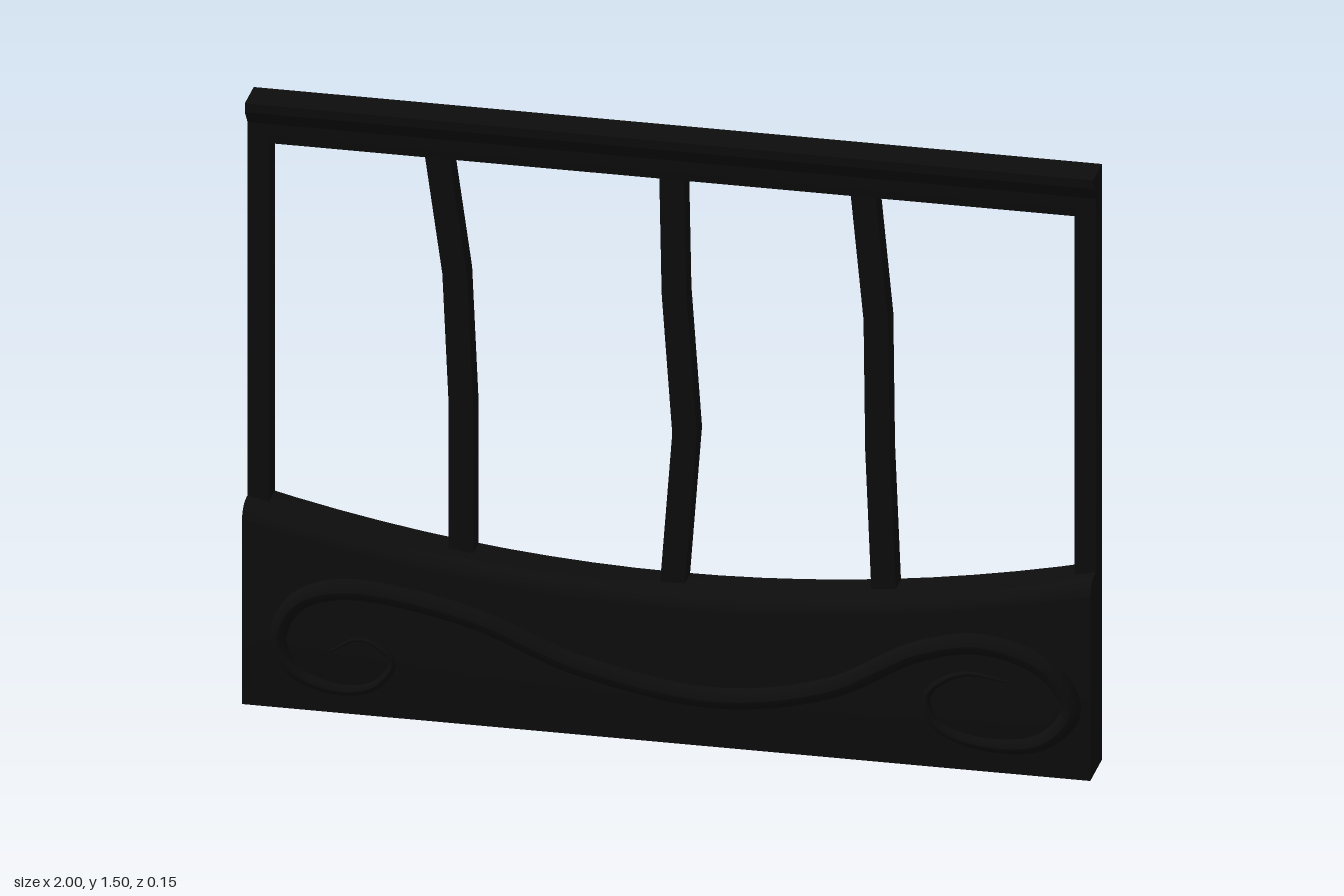
import * as THREE from 'three';
import { toCreasedNormals } from 'three/addons/utils/BufferGeometryUtils.js';

const material = new THREE.MeshStandardMaterial({ color: 0x0d0d0d });
const BACK = -0.075;

// Sweeps a (z, y) profile across the full width, from x = -1 to x = 1
function sweepAcross(profile, steps) {
  const shape = new THREE.Shape(profile.map(([z, y]) => new THREE.Vector2(-z, y)));
  const geometry = new THREE.ExtrudeGeometry(shape, { depth: 2, steps, bevelEnabled: false });
  return geometry.rotateY(Math.PI / 2).translate(-1, 0, 0);
}

// Upright bar bent through a few (x, y) centre points
function bentSlat(points) {
  const half = 0.029;
  const outline = [
    ...points.map(([x, y]) => new THREE.Vector2(x - half, y)),
    ...points.map(([x, y]) => new THREE.Vector2(x + half, y)).reverse(),
  ];
  const geometry = new THREE.ExtrudeGeometry(new THREE.Shape(outline), { depth: 0.055, bevelEnabled: false });
  return geometry.translate(0, 0, -0.07);
}

// Half-buried ridge that thins toward both curled ends
function scrollRidge(points) {
  const segments = 200, sides = 12, radius = 0.026;
  const curve = new THREE.CatmullRomCurve3(points.map(([x, y]) => new THREE.Vector3(x, y, 0)), false, 'centripetal');
  const geometry = new THREE.TubeGeometry(curve, segments, radius, sides);
  const pos = geometry.attributes.position;
  const v = new THREE.Vector3();
  for (let i = 0; i <= segments; i++) {
    const t = i / segments;
    const centre = curve.getPointAt(t);
    const taper = Math.min(1, 0.12 + 4 * Math.min(t, 1 - t));
    for (let j = 0; j <= sides; j++) {
      const k = i * (sides + 1) + j;
      v.fromBufferAttribute(pos, k).sub(centre).multiplyScalar(taper).add(centre);
      pos.setXYZ(k, v.x, v.y, v.z);
    }
  }
  geometry.computeVertexNormals();
  return geometry.translate(0, 0, 0.049);
}

export function createModel() {
  const group = new THREE.Group();
  const add = (name, geometry) => {
    const mesh = new THREE.Mesh(geometry, material);
    mesh.name = name;
    group.add(mesh);
    return mesh;
  };

  // Base panel: rounded front top edge, top dipping toward the middle
  const profile = [[BACK, 0], [BACK, 0.5]];
  for (let i = 0; i <= 6; i++) {
    const a = (i / 6) * Math.PI / 2;
    profile.push([0.005 + 0.045 * Math.sin(a), 0.46 + 0.04 * Math.cos(a)]);
  }
  profile.push([0.05, 0]);
  const base = sweepAcross(profile, 20);
  const pos = base.attributes.position;
  for (let i = 0; i < pos.count; i++) {
    const x = pos.getX(i), y = pos.getY(i);
    if (y > 0.3) pos.setY(i, y - 0.125 * (1 - x * x));
  }
  add('basePanel', toCreasedNormals(base, 0.6));

  // Top rail with a small cornice on the front
  add('topRail', sweepAcross([
    [BACK, 1.39], [BACK, 1.5], [0.02, 1.5], [0.02, 1.478], [0.012, 1.468],
    [-0.01, 1.44], [-0.01, 1.41], [-0.014, 1.39],
  ], 1));

  // End posts
  for (const side of [-1, 1]) {
    const post = add(side > 0 ? 'leftPost' : 'rightPost', new THREE.BoxGeometry(0.05, 1.0, 0.065));
    post.position.set(side * 0.975, 0.92, -0.0425);
  }

  // Crooked slats
  add('rightSlat', bentSlat([[-0.558, 1.42], [-0.513, 1.1], [-0.498, 0.77], [-0.498, 0.36]]));
  add('middleSlat', bentSlat([[-0.002, 1.42], [0.004, 1.1], [0.029, 0.75], [-0.002, 0.34]]));
  add('leftSlat', bentSlat([[0.447, 1.42], [0.48, 1.08], [0.484, 0.75], [0.5, 0.36]]));

  // Scroll ornament in relief on the front
  add('scrollOrnament', scrollRidge([
    [-0.79, 0.155], [-0.72, 0.19], [-0.645, 0.14], [-0.69, 0.075], [-0.78, 0.06],
    [-0.88, 0.1], [-0.915, 0.18], [-0.87, 0.27], [-0.76, 0.313], [-0.47, 0.275],
    [-0.2, 0.175], [0.12, 0.125], [0.385, 0.175], [0.6, 0.29], [0.75, 0.32],
    [0.9, 0.27], [0.955, 0.175], [0.89, 0.09], [0.76, 0.068], [0.64, 0.105],
    [0.615, 0.18], [0.695, 0.24], [0.81, 0.23],
  ]));

  return group;
}
